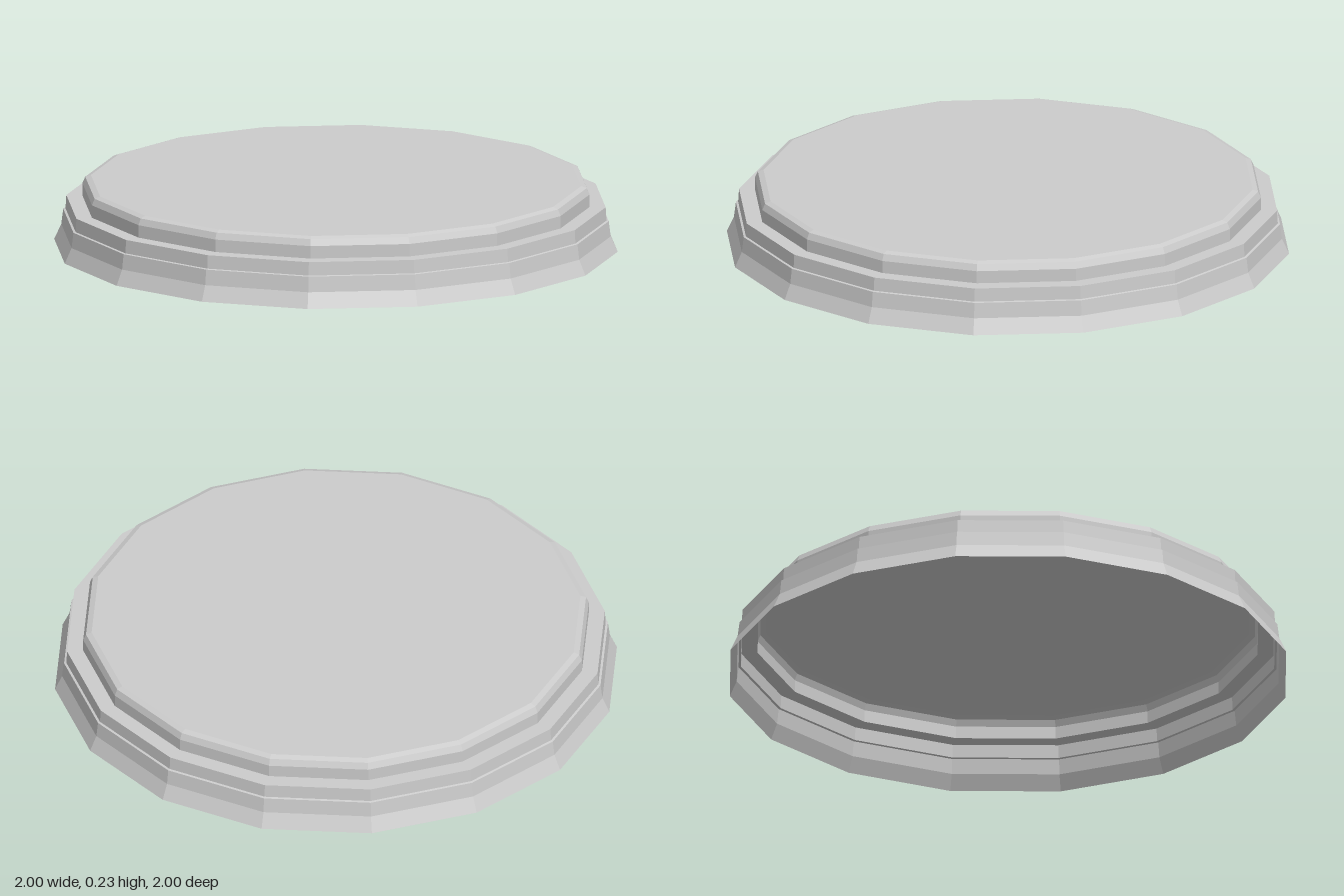
import * as THREE from 'three';

const SIDES = 16;
const HEIGHT = 0.235;
const TOP_RADIUS = 0.87;

export function createModel() {
  const group = new THREE.Group();
  group.name = 'roundPlinth';
  const material = new THREE.MeshStandardMaterial({
    color: 0xcccccc, flatShading: true, side: THREE.DoubleSide,
  });

  const add = (name, geometry) => {
    const mesh = new THREE.Mesh(geometry, material);
    mesh.name = name;
    group.add(mesh);
    return mesh;
  };

  // Faceted thin ring from a profile of [radius, height], bottom to top
  const ring = (name, profile) => {
    const points = profile.map(([r, y]) => new THREE.Vector2(r, y));
    const geometry = new THREE.LatheGeometry(points, SIDES).toNonIndexed();
    geometry.computeVertexNormals();
    return add(name, geometry);
  };

  // Sloping skirt, open underneath
  ring('lowerSkirt', [[1, 0], [0.975, 0.055], [0.968, 0.11]]);

  // Band set slightly inwards, with the flat ledge on top
  ring('upperBand', [[0.968, 0.11], [0.96, 0.112], [0.957, 0.16], [0.9, 0.16]]);

  // Raised rim with a bevelled upper edge
  ring('raisedRim', [[0.9, 0.16], [0.9, 0.205], [0.89, 0.228], [TOP_RADIUS, HEIGHT]]);

  // Flat top
  const top = new THREE.CircleGeometry(TOP_RADIUS, SIDES);
  top.rotateX(-Math.PI / 2);
  add('topPlate', top).position.y = HEIGHT;

  return group;
}
